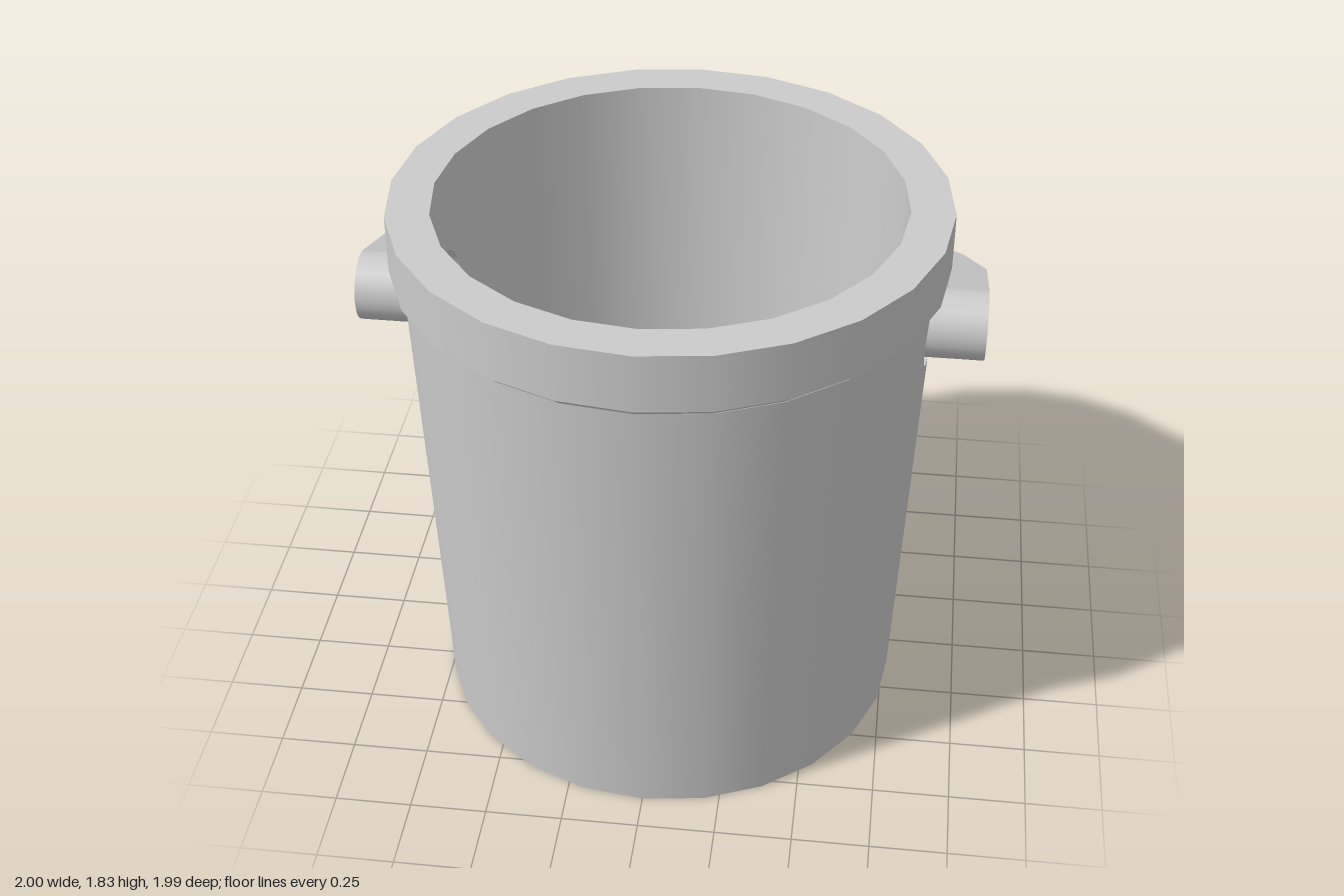
import * as THREE from 'three';
import { toCreasedNormals } from 'three/addons/utils/BufferGeometryUtils.js';

const SIDES = 24, STEP = Math.PI * 2 / SIDES;
const HOLE_Y = 1.43, HOLE_R = 0.135;
const outer = { y0: 0, y1: 1.605, r0: 0.77, r1: 0.838, sign: 1 };
const inner = { y0: 0.1, y1: 1.83, r0: 0.68, r1: 0.74, sign: -1 };

const radiusAt = (w, y) => w.r0 + (w.r1 - w.r0) * (y - w.y0) / (w.y1 - w.y0);
// x of the faceted wall next to the +x corner, at sideways offset a
const wallX = (w, a, y) => radiusAt(w, y) - Math.abs(a) * Math.tan(STEP / 2);

export function createModel() {
  const model = new THREE.Group();
  model.name = 'bucket';
  const grey = new THREE.MeshStandardMaterial({ color: 0xcccccc });
  const greyDouble = new THREE.MeshStandardMaterial({ color: 0xcccccc, side: THREE.DoubleSide });

  const add = (parent, name, geometry, material = grey) => {
    const mesh = new THREE.Mesh(geometry, material);
    mesh.name = name;
    parent.add(mesh);
    return mesh;
  };

  const body = new THREE.Group();
  body.name = 'body';
  body.position.z = 0.11;
  model.add(body);

  // One straight band of the turned profile
  const band = (name, from, to, segments = SIDES, start = 0) => add(body, name,
    new THREE.LatheGeometry([new THREE.Vector2(...from), new THREE.Vector2(...to)],
      segments, start, segments * STEP));

  band('base', [0, 0], [outer.r0, 0]);
  band('rimUnderside', [0.835, 1.605], [0.877, 1.64]);
  band('rimSide', [0.877, 1.64], [0.877, 1.83]);
  band('rimTop', [0.877, 1.83], [inner.r1, 1.83]);
  band('floor', [inner.r0, inner.y0], [0, inner.y0]);

  // Front and back walls, leaving two facets open at each side
  for (const start of [-5 * STEP, 7 * STEP]) {
    band('outerWall', [outer.r0, outer.y0], [outer.r1, outer.y1], 10, start);
    band('innerWall', [inner.r1, inner.y1], [inner.r0, inner.y0], 10, start);
  }

  // One side facet with half of the pin hole cut from its edge
  const facet = (w, half) => {
    const pts = [];
    const put = (a, y) => pts.push(new THREE.Vector2(a * half, y));
    put(0, w.y0);
    put(w.r0 * Math.sin(STEP), w.y0);
    put(w.r1 * Math.sin(STEP), w.y1);
    put(0, w.y1);
    for (let i = 0; i <= 12; i++) {
      const t = Math.PI * i / 12;
      put(HOLE_R * Math.sin(t), HOLE_Y + HOLE_R * Math.cos(t));
    }
    const geo = new THREE.ShapeGeometry(new THREE.Shape(pts));
    const pos = geo.attributes.position, nor = geo.attributes.normal;
    const slope = (w.r1 - w.r0) / (w.y1 - w.y0);
    const n = new THREE.Vector3();
    for (let i = 0; i < pos.count; i++) {
      const a = pos.getX(i), y = pos.getY(i), x = wallX(w, a, y);
      pos.setXYZ(i, x, y, -a);
      const len = Math.hypot(x, a);
      n.set(x / len, -slope, -a / len).normalize().multiplyScalar(w.sign);
      nor.setXYZ(i, n.x, n.y, n.z);
    }
    if (w.sign < 0) geo.index.array.reverse();
    return geo;
  };

  // Lining of the pin hole through the wall
  const lining = new THREE.PlaneGeometry(1, 1, 24, 1);
  const lp = lining.attributes.position;
  for (let i = 0; i < lp.count; i++) {
    const t = (lp.getX(i) + 0.5) * Math.PI * 2;
    const a = HOLE_R * Math.sin(t), y = HOLE_Y + HOLE_R * Math.cos(t);
    lp.setXYZ(i, wallX(lp.getY(i) > 0 ? outer : inner, a, y), y, -a);
  }
  lining.computeVertexNormals();

  for (const [side, turn] of [['left', 0], ['right', Math.PI]]) {
    const panel = new THREE.Group();
    panel.name = side + 'Panel';
    panel.rotation.y = turn;
    for (const half of [1, -1]) {
      add(panel, 'outerFacet', facet(outer, half));
      add(panel, 'innerFacet', facet(inner, half));
    }
    add(panel, 'pinHole', lining, greyDouble);
    body.add(panel);
  }

  // Handle: flat strap swung down behind the bucket
  const handle = new THREE.Group();
  handle.name = 'handle';
  handle.position.set(0, 1.44, 0.11);
  handle.rotation.x = -THREE.MathUtils.degToRad(110);
  model.add(handle);

  const WIDTH = 0.225, CENTRE = 0.12, SWEEP = THREE.MathUtils.degToRad(78.6);
  const arc = (r, dir) => Array.from({ length: 13 }, (_, i) => {
    const t = dir * SWEEP * (1 - i / 6);
    return new THREE.Vector2(r * Math.sin(t), CENTRE + r * Math.cos(t));
  });
  const strap = new THREE.Shape([
    new THREE.Vector2(1, 0), ...arc(1.02, 1), new THREE.Vector2(-1, 0),
    new THREE.Vector2(-0.875, 0), ...arc(0.893, -1), new THREE.Vector2(0.875, 0),
  ]);
  const strapGeo = new THREE.ExtrudeGeometry(strap, { depth: WIDTH, bevelEnabled: false });
  strapGeo.translate(0, 0, -WIDTH / 2);
  add(handle, 'strap', toCreasedNormals(strapGeo, Math.PI / 6));

  // Round pins reaching through the holes
  for (const s of [1, -1]) {
    const pin = new THREE.CylinderGeometry(WIDTH / 2, WIDTH / 2, 0.265, 24);
    pin.rotateZ(Math.PI / 2);
    add(handle, s > 0 ? 'leftPin' : 'rightPin', pin).position.x = s * 0.8675;
  }
  return model;
}
